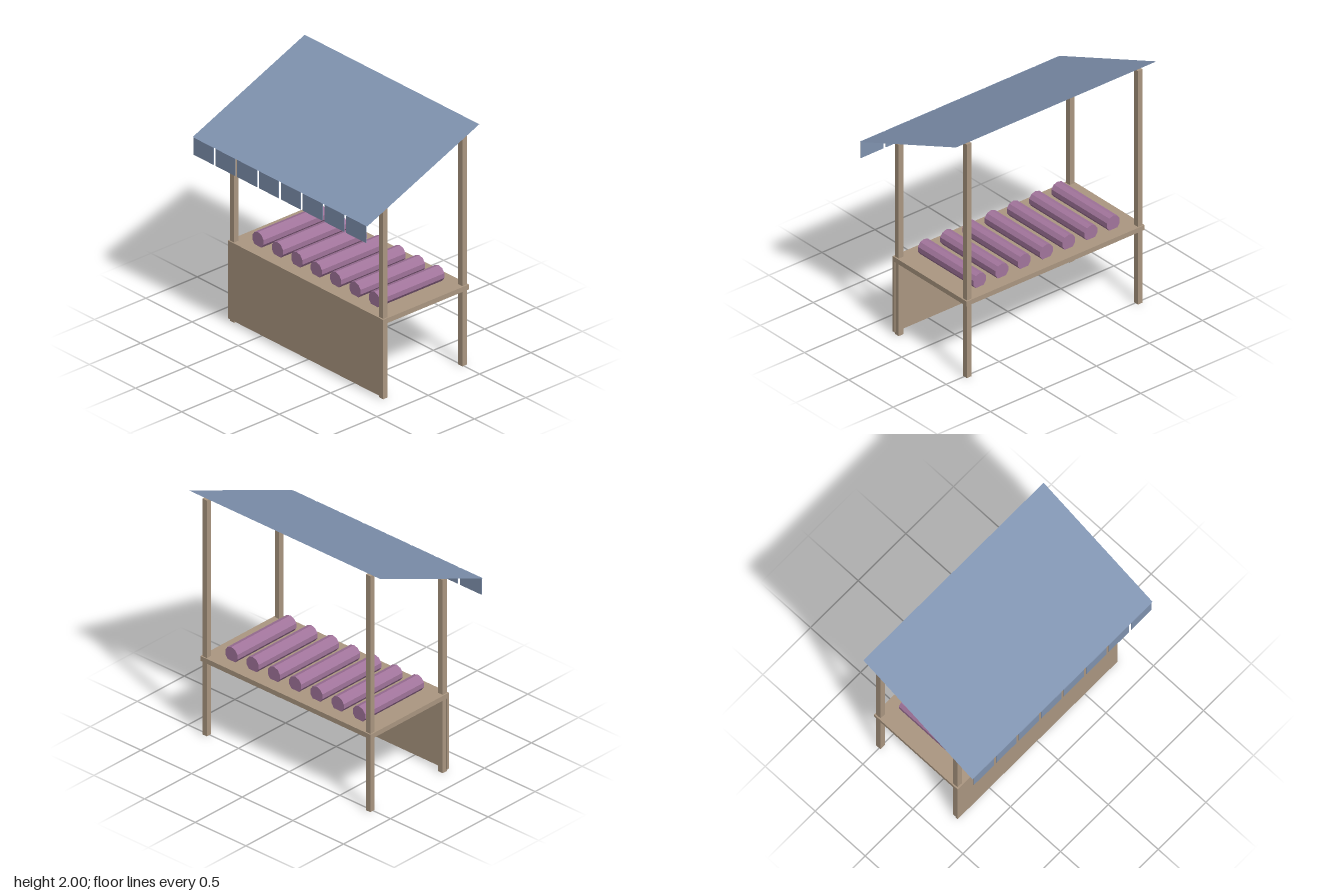
import * as THREE from 'three';

export function createModel() {
  const model = new THREE.Group();
  model.name = 'marketStall';

  const wood = new THREE.MeshStandardMaterial({ color: 0xab9781 });
  wood.name = 'wood';
  const canvas = new THREE.MeshStandardMaterial({ color: 0x8093b0 });
  canvas.name = 'blueCanvas';
  canvas.side = THREE.DoubleSide;
  const fabric = new THREE.MeshStandardMaterial({ color: 0xa2759c });
  fabric.name = 'purpleFabric';
  fabric.flatShading = true;

  const add = (name, geometry, material, x, y, z) => {
    const mesh = new THREE.Mesh(geometry, material);
    mesh.name = name;
    mesh.position.set(x, y, z);
    model.add(mesh);
    return mesh;
  };
  // Box given by its lower and upper bounds
  const box = (name, material, [x0, y0, z0], [x1, y1, z1]) =>
    add(name, new THREE.BoxGeometry(x1 - x0, y1 - y0, z1 - z0), material,
      (x0 + x1) / 2, (y0 + y1) / 2, (z0 + z1) / 2);

  // Corner posts: short at the front, tall at the back
  for (const [side, x] of [['left', 0.807], ['right', -0.807]]) {
    box(side + 'FrontPost', wood, [x - 0.022, 0, 0.24], [x + 0.022, 1.615, 0.284]);
    box(side + 'BackPost', wood, [x - 0.022, 0, -0.53], [x + 0.022, 1.97, -0.486]);
  }

  // Counter
  box('counterTop', wood, [-0.84, 0.615, -0.54], [0.84, 0.655, 0.295]);
  box('frontPanel', wood, [-0.84, 0.02, 0.275], [0.84, 0.615, 0.294]);

  // Cloth rolls lying front to back, sunk slightly into the counter
  const rollGeometry = new THREE.CylinderGeometry(0.063, 0.063, 0.627, 10).rotateX(Math.PI / 2);
  for (let i = 0; i < 7; i++) {
    add('clothRoll' + (i + 1), rollGeometry, fabric, (i - 3) * 0.21, 0.705, -0.123);
  }

  // Sloping canvas sheet
  const depth = 1.09, rise = 0.455;
  const awning = add('awning', new THREE.PlaneGeometry(1.89, Math.hypot(depth, rise)), canvas, 0, 1.772, -0.002);
  awning.rotation.x = -Math.PI / 2 + Math.atan2(rise, depth);

  // Hanging flaps along the front edge
  const flapGeometry = new THREE.BoxGeometry(0.213, 0.14, 0.005);
  for (let i = 0; i < 8; i++) {
    add('awningFlap' + (i + 1), flapGeometry, canvas, (i - 3.5) * 0.236, 1.475, 0.543);
  }

  return model;
}
